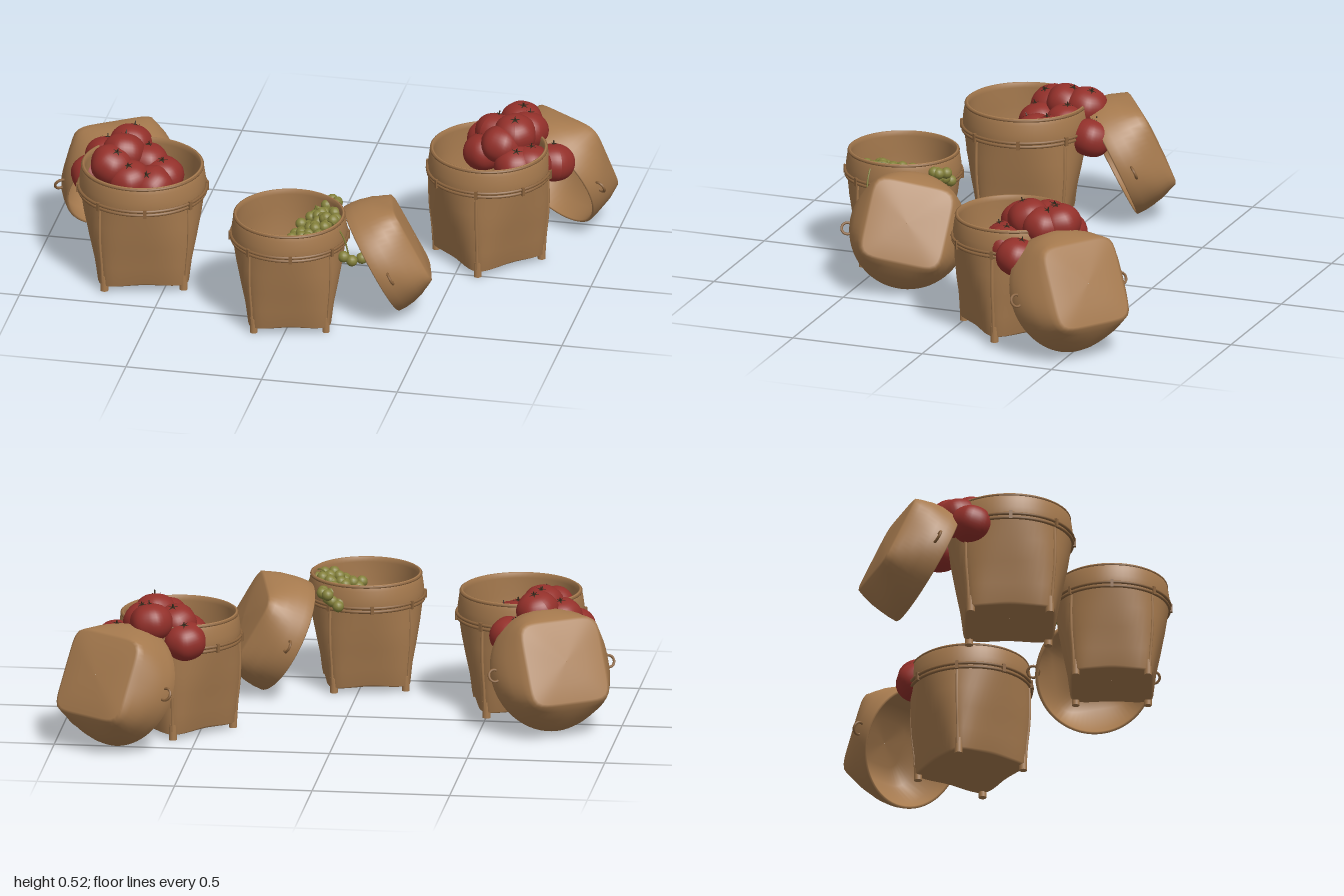
import * as THREE from 'three';

const mat = (name, color, side = THREE.FrontSide) => {
  const m = new THREE.MeshStandardMaterial({ color, side });
  m.name = name;
  return m;
};
const wicker = mat('wicker', 0xa67a4e);
const binding = mat('binding', 0x8a633d);
const red = mat('fruitRed', 0x93302a);
const olive = mat('berryOlive', 0x83803a);
const dark = mat('calyxDark', 0x33281a, THREE.DoubleSide);

let seed = 7;
const rand = () => (seed = (seed * 16807) % 2147483647) / 2147483647;

function add(parent, name, geometry, material, x = 0, y = 0, z = 0) {
  const m = new THREE.Mesh(geometry, material);
  m.name = name;
  m.position.set(x, y, z);
  parent.add(m);
  return m;
}

// Radius of a ring that blends from a circle (p = 2) to a rounded square (large p)
const ringRadius = (s, p, a) =>
  s / Math.pow(Math.abs(Math.cos(a)) ** p + Math.abs(Math.sin(a)) ** p, 1 / p);

// Skin over rows of [half width, y, squareness, corner drop]
function loft(rows, n = 64) {
  const pos = [], idx = [];
  rows.forEach(([s, y, p, drop = 0], i) => {
    for (let j = 0; j < n; j++) {
      const a = (j / n) * Math.PI * 2, r = ringRadius(s, p, a);
      pos.push(r * Math.cos(a), y - drop * Math.sin(2 * a) ** 2, r * Math.sin(a));
      if (i < rows.length - 1) {
        const k = (j + 1) % n, A = i * n + j, B = i * n + k;
        idx.push(A, A + n, B, B, A + n, B + n);
      }
    }
  });
  const g = new THREE.BufferGeometry();
  g.setAttribute('position', new THREE.Float32BufferAttribute(pos, 3));
  g.setIndex(idx);
  g.computeVertexNormals();
  return g;
}

function hoop(parent, name, r, y, tube) {
  add(parent, name, new THREE.TorusGeometry(r, tube, 8, 56), binding, 0, y, 0).rotation.x = Math.PI / 2;
}

const bodyRows = [
  [0.001, 0.042, 2], [0.08, 0.036, 4], [0.153, 0.024, 7, 0.006], [0.162, 0.033, 7, 0.01],
  [0.173, 0.1, 4.8], [0.191, 0.18, 3.4], [0.208, 0.26, 2.5], [0.219, 0.33, 2.05],
  [0.223, 0.35, 2], [0.224, 0.38, 2], [0.219, 0.415, 2], [0.214, 0.436, 2], [0.21, 0.44, 2],
  [0.205, 0.438, 2], [0.203, 0.42, 2], [0.206, 0.35, 2], [0.196, 0.25, 2.6],
  [0.17, 0.12, 4], [0.152, 0.055, 6], [0.08, 0.052, 4], [0.001, 0.055, 2],
];

function basket(x, z, sx, sy, cornerAngle) {
  const g = new THREE.Group();
  g.name = 'basket';
  add(g, 'basketBody', loft(bodyRows), wicker);
  hoop(g, 'lowerBand', 0.224, 0.337, 0.006);
  hoop(g, 'upperBand', 0.227, 0.352, 0.006);
  hoop(g, 'rimBand', 0.213, 0.432, 0.005);
  // Corner strips running down into the feet
  for (let i = 0; i < 4; i++) {
    const a = Math.PI / 4 + (i * Math.PI) / 2;
    const pts = bodyRows.slice(3, 8).map(([s, y, p]) => {
      const r = ringRadius(s, p, a);
      return new THREE.Vector3(r * Math.cos(a), y, r * Math.sin(a));
    });
    add(g, 'cornerStrip', new THREE.TubeGeometry(new THREE.CatmullRomCurve3(pts), 16, 0.006, 6), wicker);
    add(g, 'foot', new THREE.CylinderGeometry(0.015, 0.015, 0.06, 10), wicker,
      0.198 * Math.cos(a), 0.03, 0.198 * Math.sin(a));
  }
  // Small lashings around the band
  for (let i = 0; i < 8; i++) {
    const a = (i / 8) * Math.PI * 2;
    const k = add(g, 'lashing', new THREE.BoxGeometry(0.01, 0.032, 0.012), binding,
      0.23 * Math.cos(a), 0.345, 0.23 * Math.sin(a));
    k.rotation.y = -a;
  }
  g.position.set(x, 0, z);
  g.scale.set(sx, sy, sx);
  g.rotation.y = Math.PI / 4 - cornerAngle;
  return g;
}

const lidRows = [
  [0.001, 0.172, 2], [0.08, 0.168, 4], [0.138, 0.155, 5], [0.205, 0.07, 2.3], [0.212, 0.004, 2],
  [0.217, 0, 2], [0.222, 0.004, 2], [0.222, 0.035, 2], [0.216, 0.07, 2.1], [0.2, 0.11, 2.6],
  [0.174, 0.15, 4], [0.157, 0.172, 7], [0.147, 0.177, 7], [0.08, 0.184, 4], [0.001, 0.187, 2],
];

// Lid leaning on its rim; (nx, nz) is the way its closed end points
function lid(x, z, nx, nz, scale, tilt, spin) {
  const c = Math.cos(tilt), s = Math.sin(tilt);
  const g = new THREE.Group();
  g.name = 'leaningLid';
  const n = new THREE.Vector3(nx, 0, nz).normalize().multiplyScalar(c).setY(s);
  const up = new THREE.Vector3(-n.x * s / c, c, -n.z * s / c);
  g.quaternion.setFromRotationMatrix(
    new THREE.Matrix4().makeBasis(up, n, new THREE.Vector3().crossVectors(up, n)));
  add(g, 'lidShell', loft(lidRows), wicker).rotation.y = spin;
  for (const side of [-1, 1]) {
    add(g, 'lidHandle', new THREE.TorusGeometry(0.022, 0.005, 8, 18), binding,
      0, 0.05, side * 0.228).rotation.x = Math.PI / 2;
  }
  g.position.set(x, 0.222 * scale * c + 0.008, z);
  g.scale.setScalar(scale);
  return g;
}

// Lightly ribbed round fruit
const fruitGeo = new THREE.SphereGeometry(0.077, 32, 20);
{
  const p = fruitGeo.attributes.position, v = new THREE.Vector3();
  for (let i = 0; i < p.count; i++) {
    v.fromBufferAttribute(p, i);
    const flat = Math.hypot(v.x, v.z) / 0.077;
    const rib = 1 + 0.025 * flat * Math.cos(6 * Math.atan2(v.z, v.x));
    p.setXYZ(i, v.x * rib, v.y * (0.86 + 0.1 * flat), v.z * rib);
  }
  fruitGeo.computeVertexNormals();
}
const star = new THREE.Shape();
for (let i = 0; i < 10; i++) {
  const a = (i / 10) * Math.PI * 2, r = i % 2 ? 0.006 : 0.022;
  star[i ? 'lineTo' : 'moveTo'](r * Math.cos(a), r * Math.sin(a));
}
const starGeo = new THREE.ShapeGeometry(star).rotateX(-Math.PI / 2);
const stemGeo = new THREE.CylinderGeometry(0.002, 0.003, 0.018, 6);

function fruit(parent, [x, y, z]) {
  const g = new THREE.Group();
  g.name = 'redFruit';
  add(g, 'fruitBody', fruitGeo, red);
  add(g, 'calyx', starGeo, dark, 0, 0.069, 0);
  add(g, 'fruitStem', stemGeo, dark, 0, 0.072, 0);
  g.position.set(x, y, z);
  g.rotation.set((rand() - 0.5) * 0.9, rand() * 6, (rand() - 0.5) * 0.9);
  parent.add(g);
}

export function createModel() {
  seed = 7;
  const root = new THREE.Group();
  root.name = 'marketBaskets';
  root.add(
    basket(-0.605, 0.222, 1.02, 1, 0.54), basket(-0.012, 0.465, 0.93, 0.945, 0.56),
    basket(0.583, -0.193, 0.98, 0.98, 0),
    lid(-0.73, -0.05, -0.54, -0.84, 1, 0.43, 0), lid(0.262, 0.34, 0.94, -0.33, 0.96, 0.48, -0.2),
    lid(0.745, -0.44, 0.565, -0.825, 1, 0.43, 0));

  // Red fruit heaped in the two outer baskets, some slipping over the side
  [[-0.69, 0.415, 0.02], [-0.77, 0.38, 0.07], [-0.7, 0.415, 0.1], [-0.62, 0.37, 0.07],
    [-0.555, 0.34, 0.11], [-0.58, 0.33, 0.18], [-0.73, 0.395, 0.17], [-0.66, 0.35, 0.19],
    [-0.81, 0.33, 0.13], [-0.6, 0.33, -0.03],
    [0.66, 0.44, -0.4], [0.58, 0.42, -0.33], [0.66, 0.445, -0.28], [0.69, 0.43, -0.35],
    [0.54, 0.37, -0.38], [0.55, 0.37, -0.27], [0.68, 0.36, -0.2], [0.62, 0.415, -0.24],
    [0.73, 0.36, -0.22], [0.8, 0.34, -0.29]].forEach((p) => fruit(root, p));

  // Berries heaped along one side of the middle basket
  const berryGeo = new THREE.SphereGeometry(0.021, 14, 10);
  const berries = new THREE.Group();
  berries.name = 'berries';
  root.add(berries);
  for (let i = 0; i < 46; i++) {
    const t = i / 22.5 - 1, w = ((i * 0.618) % 1) * 2 - 1;
    add(berries, 'berry', berryGeo, olive,
      0.085 + (0.058 + 0.025 * t) * w - 0.015 * t + 0.02 * (rand() - 0.5),
      0.35 + 0.025 * w + 0.025 * rand(), 0.405 + 0.155 * t + 0.03 * (rand() - 0.5));
  }
  // A few hanging over the edge on a thin stalk
  [[0.195, 0.275], [0.23, 0.272], [0.263, 0.276], [0.2, 0.285], [0.17, 0.375]].forEach(
    ([x, y], i) => add(berries, 'berry', berryGeo, olive, x, y, 0.5 + 0.02 * (i % 2)));
  const stalk = new THREE.CatmullRomCurve3([
    [0.05, 0.37, 0.3], [0.1, 0.38, 0.42], [0.165, 0.405, 0.51], [0.2, 0.36, 0.52], [0.22, 0.28, 0.515],
  ].map((p) => new THREE.Vector3(...p)));
  add(berries, 'berryStalk', new THREE.TubeGeometry(stalk, 30, 0.003, 6), olive);
  return root;
}
